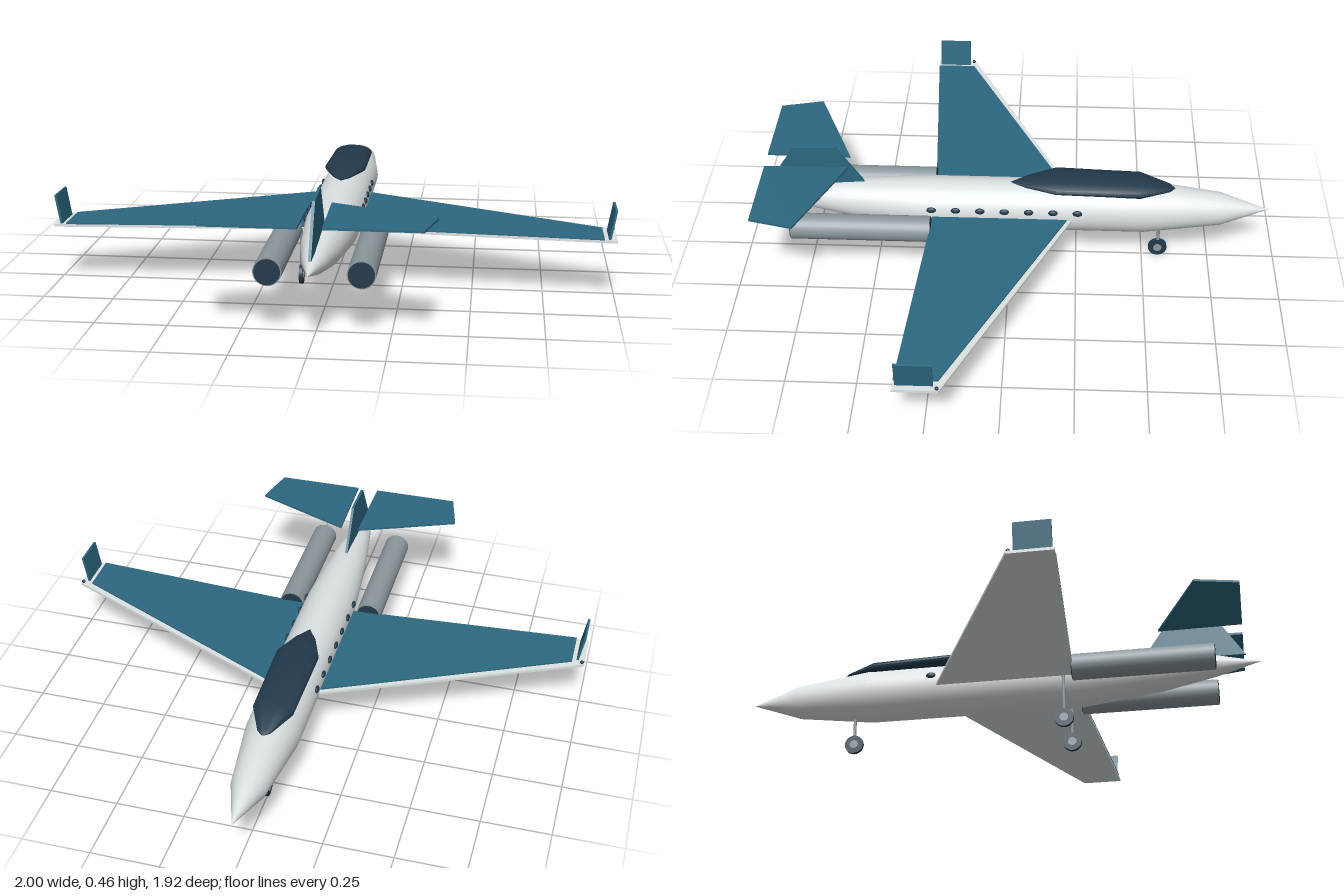
import * as THREE from 'three';
import { toCreasedNormals } from 'three/addons/utils/BufferGeometryUtils.js';

const material = (name, color) => {
  const m = new THREE.MeshStandardMaterial({ color });
  m.name = name;
  return m;
};

// Skin over elliptical rings given as [z, centreY, halfWidth, halfHeight]
function loft(rings, sides) {
  const pos = [], index = [];
  rings.forEach(([z, y, rx, ry]) => {
    for (let j = 0; j < sides; j++) {
      const a = (j / sides) * Math.PI * 2;
      pos.push(rx * Math.cos(a), y + ry * Math.sin(a), z);
    }
  });
  for (let i = 0; i < rings.length - 1; i++) {
    for (let j = 0; j < sides; j++) {
      const a = i * sides + j, b = i * sides + ((j + 1) % sides);
      index.push(a, b, a + sides, b, b + sides, a + sides);
    }
  }
  const g = new THREE.BufferGeometry();
  g.setAttribute('position', new THREE.Float32BufferAttribute(pos, 3));
  g.setIndex(index);
  g.computeVertexNormals();
  return g;
}

// Horizontal plate from [x, z] corners, mirrored by side, rising from y
function slab(corners, side, y, thickness) {
  const shape = new THREE.Shape(corners.map(([x, z]) => new THREE.Vector2(x * side, -z)));
  const g = new THREE.ExtrudeGeometry(shape, { depth: thickness, bevelEnabled: false });
  return g.rotateX(-Math.PI / 2).translate(0, y, 0);
}

export function createModel() {
  const white = material('white paint', 0xdce1e3);
  const teal = material('teal paint', 0x2c6880);
  const navy = material('dark glass', 0x22394b);
  const steel = material('engine grey', 0x8b979d);

  const plane = new THREE.Group();
  plane.name = 'jet';
  const add = (name, geometry, mat, parent = plane) => {
    const mesh = new THREE.Mesh(geometry, mat);
    mesh.name = name;
    parent.add(mesh);
    return mesh;
  };

  // Fuselage, nose towards -z
  const body = [
    [-0.96, 0.225, 0.001], [-0.78, 0.225, 0.062], [-0.5, 0.227, 0.097],
    [0.3, 0.227, 0.097], [0.6, 0.239, 0.071], [0.8, 0.249, 0.04], [0.96, 0.255, 0.001],
  ];
  add('fuselage', loft(body.map(([z, y, r]) => [z, y, r, r]), 32), white);

  // Canopy
  const canopy = [
    [-0.61, 0.313, 0.002, 0.001], [-0.59, 0.315, 0.025, 0.009], [-0.48, 0.323, 0.074, 0.031],
    [-0.17, 0.333, 0.079, 0.027], [-0.06, 0.327, 0.037, 0.012], [0, 0.323, 0.001, 0.001],
  ];
  add('canopy', toCreasedNormals(loft(canopy, 20), 0.5), navy);

  // Tail fin
  const finShape = new THREE.Shape([[-0.91, 0.287], [-0.545, 0.287], [-0.545, 0.313], [-0.645, 0.463], [-0.8, 0.457]]
    .map(([x, y]) => new THREE.Vector2(x, y)));
  const fin = new THREE.ExtrudeGeometry(finShape, { depth: 0.01, bevelEnabled: false });
  add('tailFin', fin.translate(0, 0, -0.005).rotateY(Math.PI / 2), teal);

  for (const side of [1, -1]) {
    const label = side > 0 ? 'left' : 'right';

    // Wing with painted upper skin
    add(label + 'Wing', slab([[0.07, -0.24], [1, 0.19], [1, 0.345], [0.07, 0.285]], side, 0.212, 0.01), white);
    add(label + 'WingSkin', slab([[0.07, -0.224], [0.955, 0.195], [0.955, 0.343], [0.07, 0.284]], side, 0.222, 0.005), teal);

    // Winglet leaning outwards, and wing tip lamp
    const winglet = add(label + 'Winglet', new THREE.BoxGeometry(0.008, 0.108, 0.125), teal);
    winglet.position.set(side * 0.983, 0.273, 0.273);
    winglet.rotation.z = -side * 0.17;
    add(label + 'TipLamp', new THREE.SphereGeometry(0.007, 10, 8), navy).position.set(side * 0.992, 0.226, 0.197);

    // Tailplane
    add(label + 'Tailplane', slab([[0.035, 0.597], [0.398, 0.748], [0.36, 0.905], [0.04, 0.905]], side, 0.391, 0.008), teal);

    // Engine with dark intake and exhaust discs
    const engine = new THREE.Group();
    engine.name = label + 'Engine';
    engine.position.set(side * 0.154, 0.214, 0.545);
    engine.rotation.x = Math.PI / 2;
    plane.add(engine);
    add('nacelle', new THREE.CylinderGeometry(0.048, 0.048, 0.51, 28), steel, engine);
    for (const end of [1, -1]) {
      add(end > 0 ? 'exhaust' : 'intake', new THREE.CylinderGeometry(0.044, 0.044, 0.006, 28), navy, engine)
        .position.y = end * 0.255;
    }

    // Cabin windows
    for (let i = 0; i < 7; i++) {
      const pane = add(label + 'Window', new THREE.SphereGeometry(1, 14, 10), navy);
      pane.scale.set(0.008, 0.012, 0.018);
      pane.position.set(side * 0.094, 0.254, -0.25 + i * 0.09);
    }
  }

  // Landing gear: nose leg and two main legs
  for (const [name, x, z] of [['noseGear', 0, -0.56], ['leftMainGear', 0.115, 0.25], ['rightMainGear', -0.115, 0.25]]) {
    const gear = new THREE.Group();
    gear.name = name;
    gear.position.set(x, 0, z);
    plane.add(gear);
    add('strut', new THREE.CylinderGeometry(0.006, 0.006, 0.165, 10), steel, gear).position.y = 0.12;
    const tyre = new THREE.CylinderGeometry(0.035, 0.035, 0.014, 24).rotateZ(Math.PI / 2);
    add('tyre', tyre, navy, gear).position.y = 0.035;
    const hub = new THREE.CylinderGeometry(0.016, 0.016, 0.018, 18).rotateZ(Math.PI / 2);
    add('hub', hub, steel, gear).position.y = 0.035;
  }

  return plane;
}
